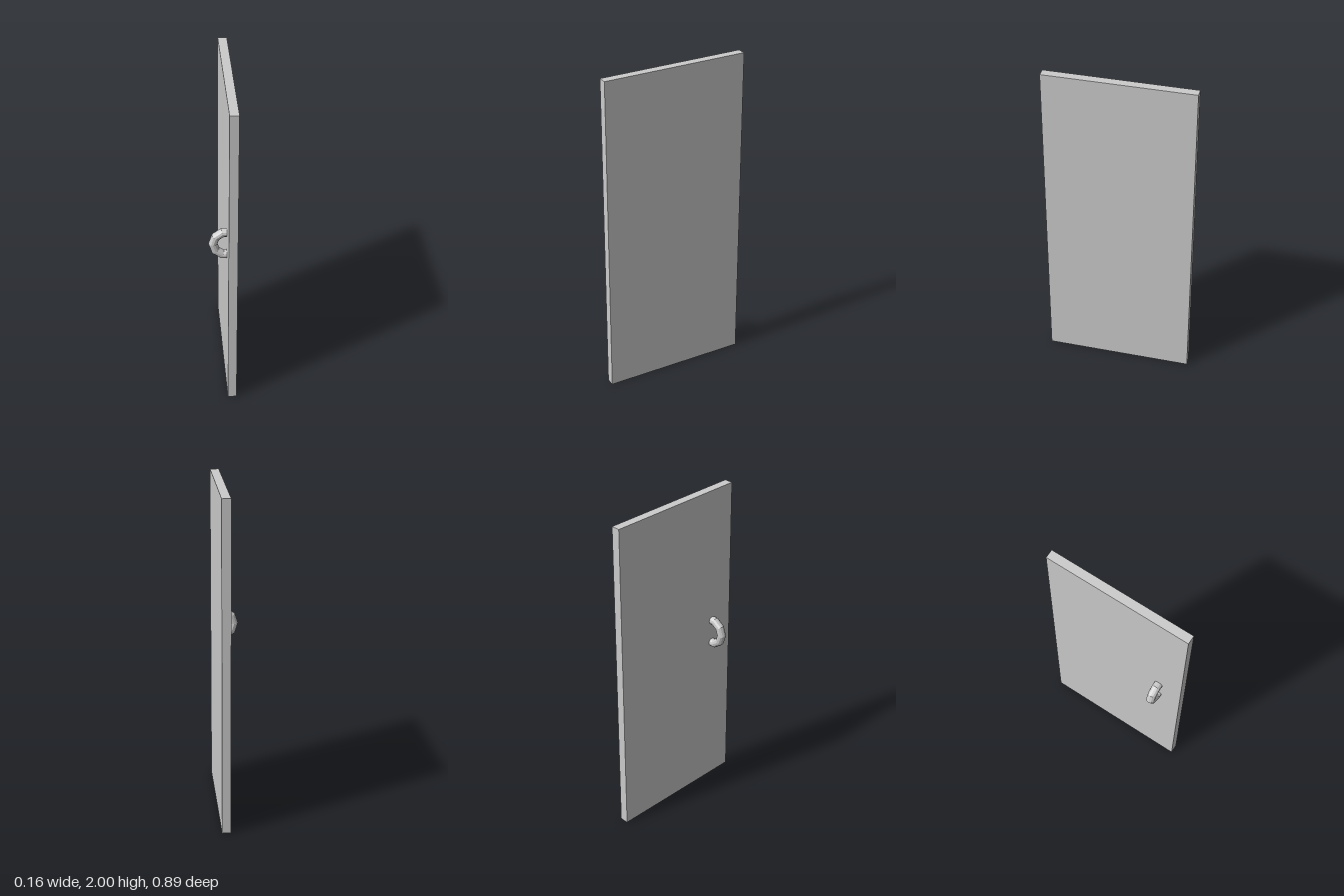
import * as THREE from 'three';

export function createModel() {
  const group = new THREE.Group();
  const thickness = 0.053, faceX = 0.027;

  // Flat door slab
  const panel = new THREE.Mesh(
    new THREE.BoxGeometry(thickness, 2, 0.894),
    new THREE.MeshStandardMaterial({ color: 0xcccccc })
  );
  panel.name = 'doorPanel';
  panel.position.set(faceX + thickness / 2, 1, 0);
  group.add(panel);

  // Curved pull handle: six segments of a ten-sided ring, its ends sunk in the slab
  const arc = Math.PI * 1.2;
  const handle = new THREE.Mesh(
    new THREE.TorusGeometry(0.08, 0.0265, 12, 6, arc).rotateZ(Math.PI - arc / 2),
    new THREE.MeshStandardMaterial({ color: 0xcccccc, flatShading: true })
  );
  handle.name = 'pullHandle';
  handle.position.set(faceX, 1.065, 0.297);
  group.add(handle);

  return group;
}
